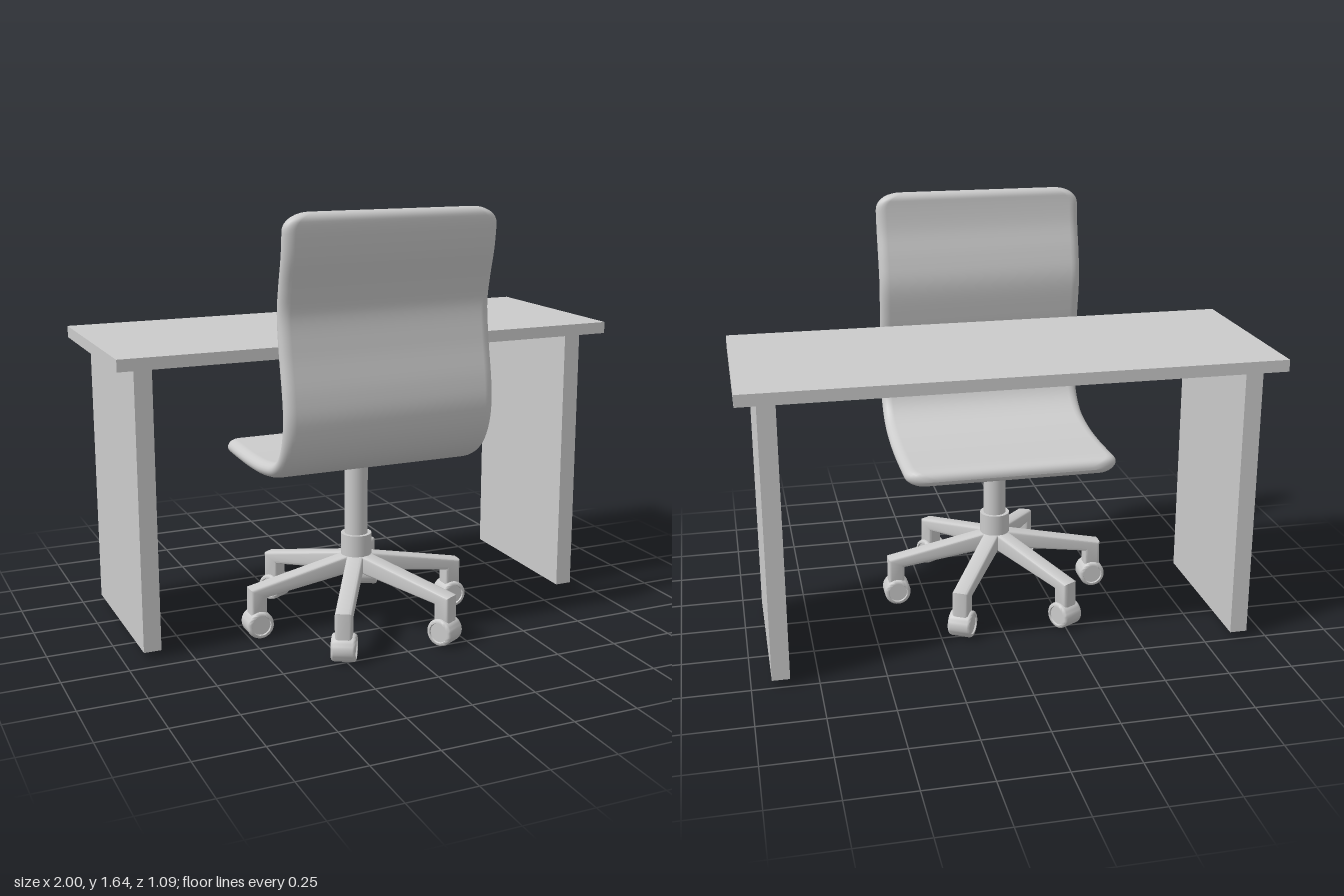
import * as THREE from 'three';
import { toCreasedNormals } from 'three/addons/utils/BufferGeometryUtils.js';

const material = new THREE.MeshStandardMaterial({ color: 0xcccccc });

function addMesh(parent, name, geometry, x = 0, y = 0, z = 0) {
  const mesh = new THREE.Mesh(geometry, material);
  mesh.name = name;
  mesh.position.set(x, y, z);
  parent.add(mesh);
  return mesh;
}

// Quarter-round easing: 0 at the tip, 1 from distance r onward
const round = (d, r) => (d >= r ? 1 : Math.sqrt(1 - (1 - d / r) ** 2));

// One-piece seat and backrest: a rounded slab swept along an S-shaped side profile
function shellGeometry() {
  const halfWidth = 0.4175, halfThick = 0.029, edge = 0.04, arcSteps = 10;
  const profile = [
    [0.428, 1.645], [0.427, 1.6], [0.415, 1.495], [0.386, 1.38], [0.37, 1.285],
    [0.385, 1.147], [0.413, 0.995], [0.419, 0.908], [0.402, 0.82], [0.36, 0.75],
    [0.29, 0.703], [0.17, 0.677], [0.03, 0.668], [-0.12, 0.67], [-0.21, 0.672], [-0.262, 0.662],
  ];
  const curve = new THREE.CatmullRomCurve3(profile.map(([z, y]) => new THREE.Vector3(0, y, z)));
  curve.arcLengthDivisions = 600;
  const length = curve.getLength();

  // Stations are packed closely at both ends for the rounded tips
  const tip = [0, 0.001, 0.004, 0.009, 0.016, 0.024, 0.032, 0.042, 0.055, 0.07];
  const stations = [...tip];
  for (let i = 1; i < 64; i++) stations.push(0.07 + (length - 0.14) * i / 64);
  stations.push(...tip.map((d) => length - d).reverse());

  const positions = [], indices = [], ring = 2 * (arcSteps + 1);
  stations.forEach((s, i) => {
    const u = Math.min(1, Math.max(0, s / length));
    const p = curve.getPointAt(u), t = curve.getTangentAt(u);
    const d = Math.max(0, Math.min(s, length - s));
    const w = halfWidth - 0.1 * (1 - round(d, 0.065));
    const h = halfThick * round(d, halfThick);
    for (let j = 0; j < ring; j++) {
      const side = j <= arcSteps ? 1 : -1;
      const a = Math.PI * ((j % (arcSteps + 1)) / arcSteps - 0.5);
      const x = side * (w - edge + edge * Math.cos(a));
      const n = side * h * Math.sin(a);
      positions.push(x, p.y + n * t.z, p.z - n * t.y);
      if (i > 0) {
        const k = (j + 1) % ring, b = i * ring, c = b - ring;
        indices.push(c + j, c + k, b + k, c + j, b + k, b + j);
      }
    }
  });
  const geometry = new THREE.BufferGeometry();
  geometry.setAttribute('position', new THREE.Float32BufferAttribute(positions, 3));
  geometry.setIndex(indices);
  geometry.computeVertexNormals();
  return geometry;
}

// Sloping arm with a downturned end, bevelled on its long edges
function armGeometry() {
  const width = 0.065, bevel = 0.012;
  const outline = new THREE.Shape([
    [0, 0.213], [0.385, 0.157], [0.385, 0.08], [0.45, 0.08], [0.45, 0.195], [0, 0.29],
  ].map(([r, y]) => new THREE.Vector2(r, y)));
  const geometry = new THREE.ExtrudeGeometry(outline, {
    depth: width - 2 * bevel, bevelEnabled: true,
    bevelSize: bevel, bevelThickness: bevel, bevelOffset: -bevel, bevelSegments: 3,
  });
  geometry.translate(0, 0, bevel - width / 2);
  return toCreasedNormals(geometry, 0.7);
}

// Barrel wheel with a recessed disc on each face, axis along z
function wheelGeometry() {
  const half = [[0, 0.04], [0.037, 0.04], [0.039, 0.046], [0.046, 0.046], [0.051, 0.042], [0.053, 0.035]];
  const points = [
    ...half.map(([r, y]) => new THREE.Vector2(r, -y)),
    ...[...half].reverse().map(([r, y]) => new THREE.Vector2(r, y)),
  ];
  const geometry = new THREE.LatheGeometry(points, 32);
  geometry.rotateX(Math.PI / 2);
  return toCreasedNormals(geometry, 0.7);
}

function createDesk() {
  const desk = new THREE.Group();
  desk.name = 'desk';
  addMesh(desk, 'deskTop', new THREE.BoxGeometry(2, 0.045, 0.78), 0, 1.1225, -0.155);
  for (const side of [-1, 1]) {
    const name = side > 0 ? 'leftPanel' : 'rightPanel';
    addMesh(desk, name, new THREE.BoxGeometry(0.067, 1.075, 0.66), side * 0.891, 0.5625, -0.16);
  }
  return desk;
}

function createChair() {
  const chair = new THREE.Group();
  chair.name = 'chair';
  chair.position.x = -0.04;
  addMesh(chair, 'seatShell', shellGeometry());

  const base = new THREE.Group();
  base.name = 'chairBase';
  base.position.set(-0.004, 0, 0.12);
  chair.add(base);
  addMesh(base, 'column', new THREE.CylinderGeometry(0.045, 0.045, 0.41, 32), 0, 0.455, 0);
  addMesh(base, 'collar', new THREE.CylinderGeometry(0.06, 0.06, 0.085, 32), 0, 0.32, 0);

  // Six arms, each ending in a caster
  const arm = armGeometry(), wheel = wheelGeometry();
  for (let i = 0; i < 6; i++) {
    const leg = new THREE.Group();
    leg.name = 'baseLeg' + (i + 1);
    leg.rotation.y = i * Math.PI / 3;
    addMesh(leg, 'arm', arm);
    addMesh(leg, 'wheel', wheel, 0.416, 0.053, 0);
    base.add(leg);
  }
  return chair;
}

export function createModel() {
  const model = new THREE.Group();
  model.name = 'deskAndChair';
  model.add(createDesk(), createChair());
  return model;
}
